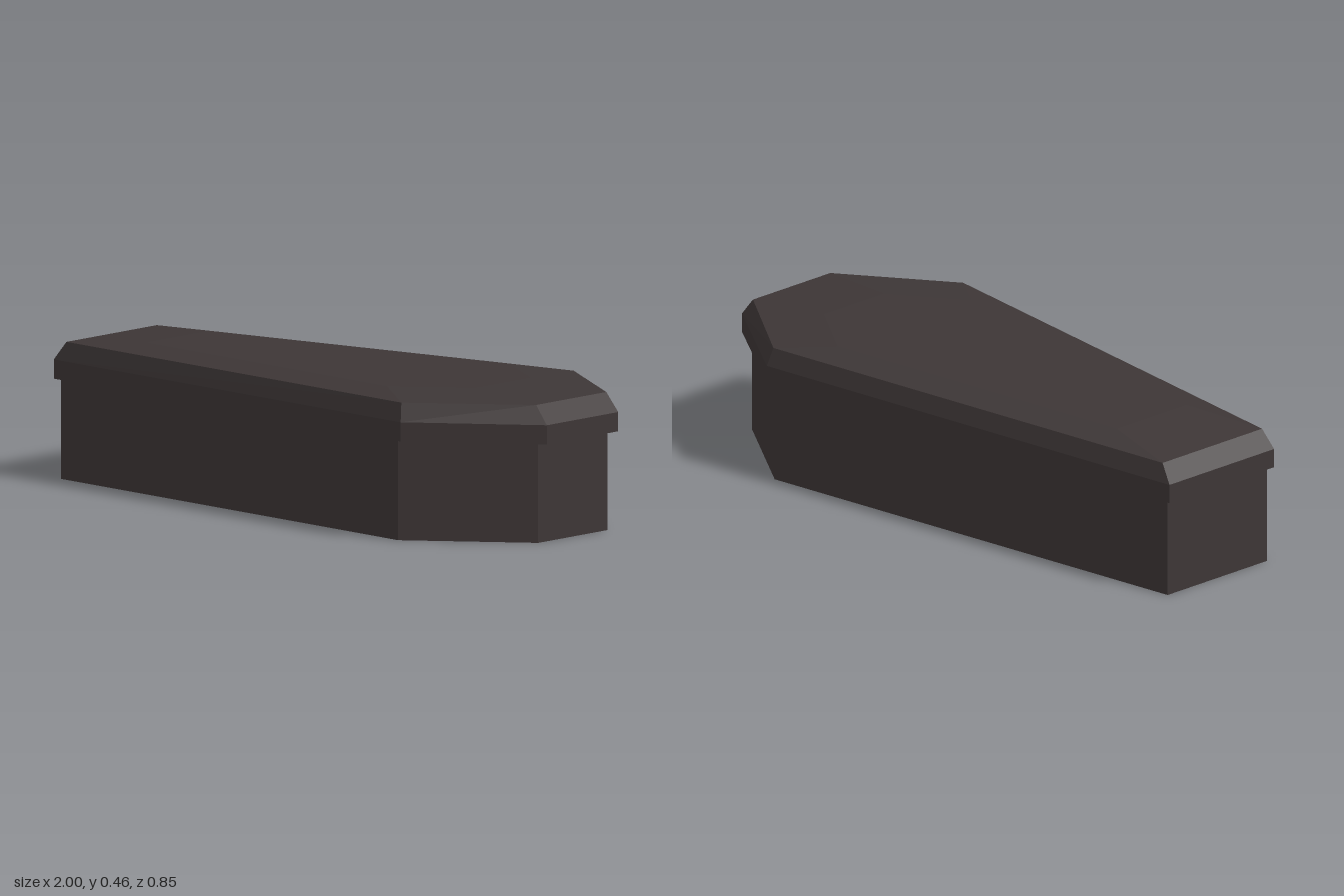
import * as THREE from 'three';

// Six-sided ring at height y: foot, shoulder and head given as [x, half width]
function ring(y, foot, shoulder, head) {
  const half = [foot, shoulder, head];
  return [
    ...half.map(([x, z]) => [x, y, z]),
    ...half.reverse().map(([x, z]) => [x, y, -z]),
  ];
}

// Closed, faceted solid through a stack of rings, from bottom to top
function loft(rings) {
  const positions = [];
  const tri = (a, b, c) => positions.push(...a, ...b, ...c);
  const count = rings[0].length;
  for (let r = 0; r < rings.length - 1; r++) {
    const low = rings[r], high = rings[r + 1];
    for (let i = 0; i < count; i++) {
      const j = (i + 1) % count;
      tri(low[i], low[j], high[j]);
      tri(low[i], high[j], high[i]);
    }
  }
  const bottom = rings[0], top = rings[rings.length - 1];
  for (let i = 1; i < count - 1; i++) {
    tri(bottom[0], bottom[i + 1], bottom[i]);
    tri(top[0], top[i], top[i + 1]);
  }
  const geometry = new THREE.BufferGeometry();
  geometry.setAttribute('position', new THREE.Float32BufferAttribute(positions, 3));
  geometry.computeVertexNormals();
  return geometry;
}

export function createModel() {
  const group = new THREE.Group();
  group.name = 'coffin';
  const darkWood = new THREE.MeshStandardMaterial({ color: 0x3d3636 });
  darkWood.name = 'darkWood';

  const add = (name, rings) => {
    const mesh = new THREE.Mesh(loft(rings), darkWood);
    mesh.name = name;
    group.add(mesh);
  };

  // Straight-walled box
  const box = [[-0.98, 0.215], [0.595, 0.414], [0.96, 0.165]];
  add('box', [ring(0, ...box), ring(0.317, ...box)]);

  // Overhanging lid: upright rim, steep bevel, then a shallow raised panel
  const rim = [[-1, 0.226], [0.617, 0.427], [1, 0.17]];
  add('lid', [
    ring(0.317, ...rim),
    ring(0.378, ...rim),
    ring(0.437, [-0.957, 0.215], [0.605, 0.41], [0.953, 0.167]),
    ring(0.457, [-0.68, 0.15], [0.44, 0.29], [0.67, 0.13]),
  ]);

  return group;
}
